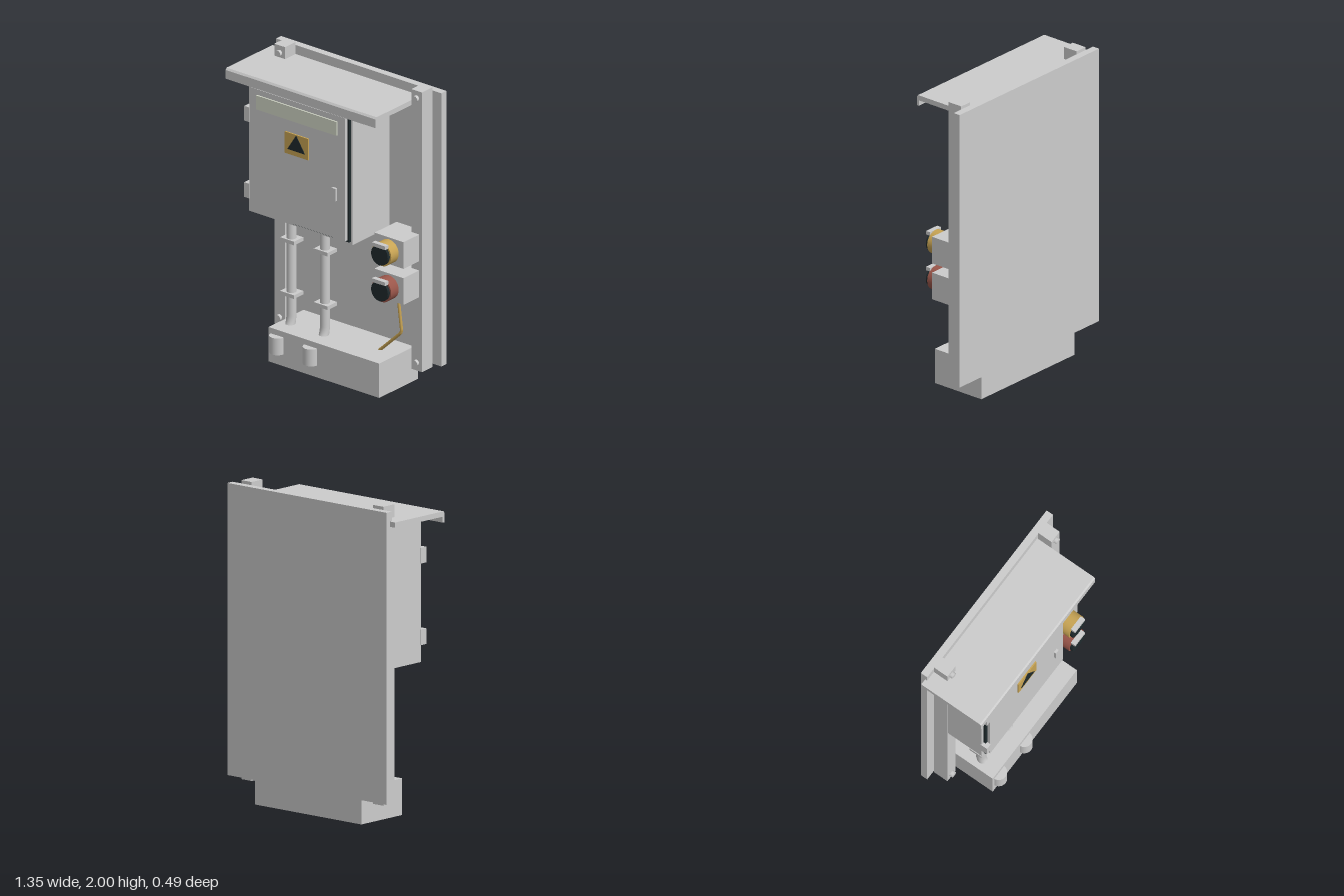
import * as THREE from 'three';

export function createModel() {
  const root = new THREE.Group();
  const mat = (color) => new THREE.MeshStandardMaterial({ color });
  const grey = mat(0xcccccc), dark = mat(0x1f2a2d), amber = mat(0xc8a454);
  const red = mat(0x9a564a), pale = mat(0xd3d8c8);

  const add = (name, geometry, material = grey) => {
    const mesh = new THREE.Mesh(geometry, material);
    mesh.name = name;
    root.add(mesh);
    return mesh;
  };
  // Box given by its limits on each axis
  const box = (name, x0, x1, y0, y1, z0, z1, material) =>
    add(name, new THREE.BoxGeometry(x1 - x0, y1 - y0, z1 - z0), material)
      .position.set((x0 + x1) / 2, (y0 + y1) / 2, (z0 + z1) / 2);
  // Cylinder along z
  const disc = (name, x, y, z0, z1, r, material) => {
    const g = new THREE.CylinderGeometry(r, r, z1 - z0, 32).rotateX(Math.PI / 2);
    add(name, g, material).position.set(x, y, (z0 + z1) / 2);
  };
  // Cylinder along y
  const post = (name, x, z, y0, y1, r, material) =>
    add(name, new THREE.CylinderGeometry(r, r, y1 - y0, 32), material)
      .position.set(x, (y0 + y1) / 2, z);

  // Back plate and mounting rails with bolts
  box('backPlate', -0.635, 0.672, 0.155, 1.98, -0.243, -0.195);
  for (const x of [-0.523, 0.559]) {
    box('rail', x - 0.042, x + 0.042, 0.132, 2, -0.195, -0.093);
    for (const y of [0.185, 1.95]) disc('railBolt', x, y, -0.1, -0.073, 0.02);
  }

  // Rain hood: L-shaped profile (z, y) swept along x
  const hood = new THREE.Shape([
    [-0.21, 1.887], [0.225, 1.887], [0.225, 1.85], [0.242, 1.85],
    [0.242, 1.908], [0.232, 1.92], [-0.21, 1.92],
  ].map(([z, y]) => new THREE.Vector2(-z, y)));
  const hoodGeo = new THREE.ExtrudeGeometry(hood, { depth: 1.185, bevelEnabled: false });
  add('rainHood', hoodGeo.rotateY(Math.PI / 2)).position.x = -0.676;

  // Cabinet, door seal, door, hinges and latch
  box('cabinet', -0.557, 0.262, 0.973, 1.85, -0.195, 0.16);
  box('doorSeal', -0.537, 0.247, 0.99, 1.835, 0.16, 0.176, dark);
  box('door', -0.521, 0.234, 1.003, 1.823, 0.176, 0.198);
  for (const y of [1.128, 1.638])
    box('hinge', -0.561, -0.523, y - 0.049, y + 0.049, 0.155, 0.203);
  box('doorLatch', 0.14, 0.17, 1.256, 1.34, 0.198, 0.214);

  // Blank label and warning plate
  box('labelPlate', -0.463, 0.172, 1.693, 1.786, 0.198, 0.208, pale);
  box('warningPlate', -0.237, -0.053, 1.466, 1.609, 0.198, 0.207, amber);
  const triangle = new THREE.Shape([
    new THREE.Vector2(-0.213, 1.5), new THREE.Vector2(-0.077, 1.5), new THREE.Vector2(-0.145, 1.605),
  ]);
  add('warningTriangle', new THREE.ExtrudeGeometry(triangle, { depth: 0.004, bevelEnabled: false }), dark)
    .position.z = 0.207;

  // Bottom cable trough on its base
  box('troughBase', -0.418, 0.456, 0, 0.044, -0.232, 0.142);
  box('trough', -0.418, 0.456, 0.044, 0.229, -0.232, 0.142);

  // Conduits with glands, clamps, bends and trough fittings
  for (const x of [-0.35, -0.085]) {
    post('conduitGland', x, 0.005, 0.946, 0.974, 0.048, dark);
    const path = new THREE.CurvePath();
    const v = (y, z) => new THREE.Vector3(x, y, z);
    path.add(new THREE.LineCurve3(v(0.95, 0.005), v(0.29, 0.005)));
    path.add(new THREE.QuadraticBezierCurve3(v(0.29, 0.005), v(0.17, 0.005), v(0.14, 0.12)));
    add('conduit', new THREE.TubeGeometry(path, 60, 0.031, 24));
    for (const y of [0.43, 0.788])
      box('conduitClamp', x - 0.055, x + 0.055, y - 0.012, y + 0.012, -0.043, 0.047);
    post('troughFitting', x, 0.138, 0.08, 0.192, 0.052);
  }

  // Rotary switches
  for (const [y, colour] of [[0.957, amber], [0.717, red]]) {
    box('switchBox', 0.35, 0.58, y - 0.089, y + 0.089, -0.155, 0.058);
    disc('switchCollar', 0.465, y, 0.058, 0.13, 0.077, colour);
    disc('switchFace', 0.465, y, 0.13, 0.15, 0.066, dark);
    box('switchHandle', 0.413, 0.517, y + 0.053, y + 0.077, 0.128, 0.16);
  }

  // Bent cable from the lower switch to the trough
  const cable = new THREE.CurvePath();
  const p = [[0.465, 0.64], [0.494, 0.405], [0.488, 0.385], [0.31, 0.215]]
    .map(([x, y]) => new THREE.Vector3(x, y, -0.028));
  for (let i = 0; i < 3; i++) cable.add(new THREE.LineCurve3(p[i], p[i + 1]));
  add('cable', new THREE.TubeGeometry(cable, 40, 0.01, 10), amber);

  return root;
}
